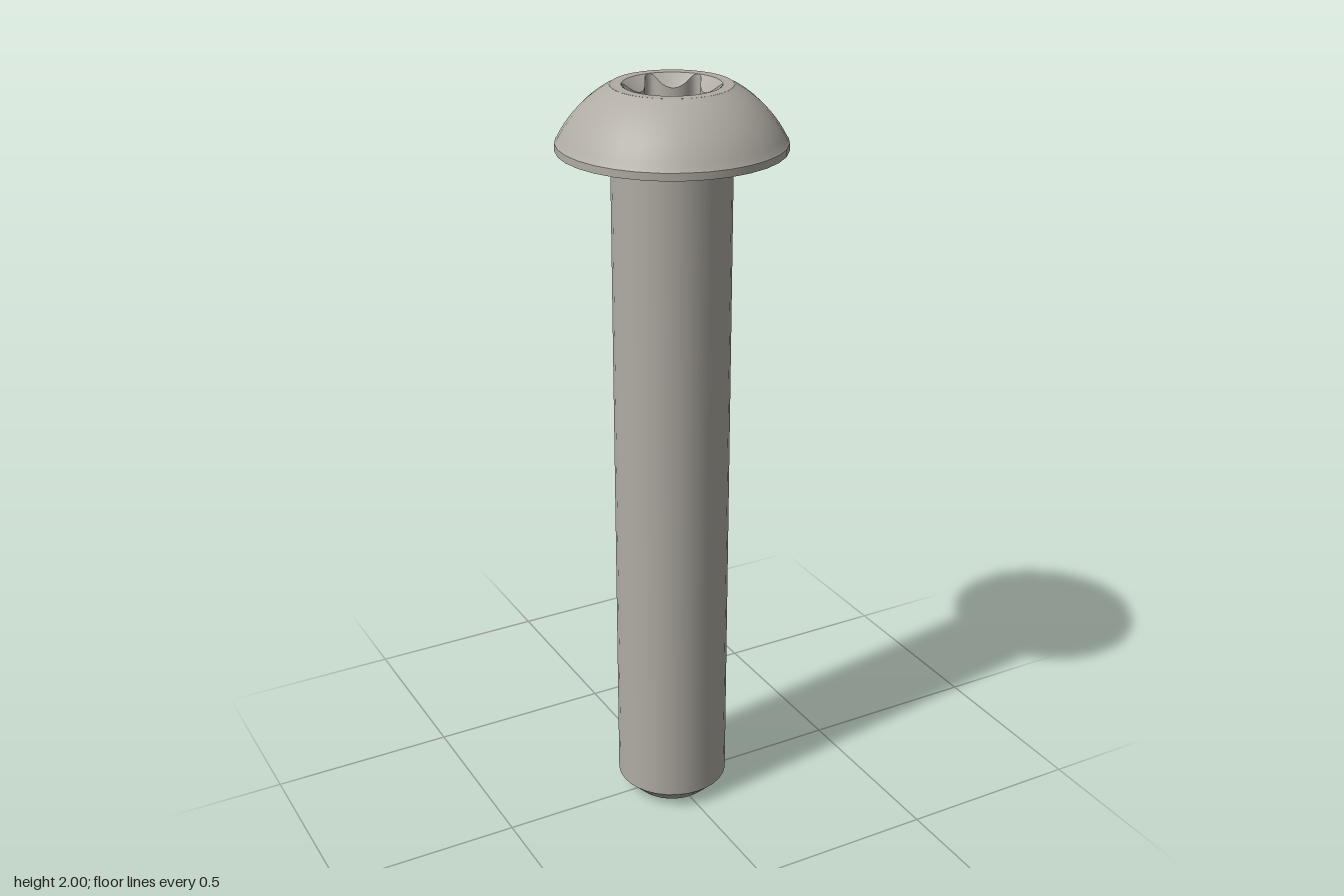
import * as THREE from 'three';

const SEGMENTS = 32;
const steel = new THREE.MeshStandardMaterial({ color: 0xb0aca4 });
steel.name = 'steel grey';

function addMesh(group, name, geometry) {
  const mesh = new THREE.Mesh(geometry, steel);
  mesh.name = name;
  group.add(mesh);
}

// Each turned section is its own surface, so edges between sections stay sharp
function turned(group, name, points) {
  const profile = points.map(([r, y]) => new THREE.Vector2(r, y));
  addMesh(group, name, new THREE.LatheGeometry(profile, SEGMENTS));
}

// Points on a circular arc, angles measured in the profile plane
function arc(cx, cy, radius, from, to, steps) {
  return Array.from({ length: steps + 1 }, (_, i) => {
    const a = from + (to - from) * i / steps;
    return [cx + radius * Math.cos(a), cy + radius * Math.sin(a)];
  });
}

// Six-lobed socket outline: small round tips tangent to wide inward bulges
const TIP_R = 0.016, TIP_C = 0.106, BULGE_R = 0.0648, BULGE_C = 0.1528;
const TANGENT = THREE.MathUtils.degToRad(7.75);
function starRadius(angle) {
  const sector = Math.PI / 3;
  const a = Math.abs(angle - Math.round(angle / sector) * sector);
  if (a < TANGENT) {
    return TIP_C * Math.cos(a) + Math.sqrt(TIP_R ** 2 - (TIP_C * Math.sin(a)) ** 2);
  }
  const b = sector / 2 - a;
  return BULGE_C * Math.cos(b) - Math.sqrt(BULGE_R ** 2 - (BULGE_C * Math.sin(b)) ** 2);
}

// Surface between closed rings; each ring maps an angle to [radius, height]
function loft(rings) {
  const n = 144, positions = [], index = [];
  rings.forEach((ring) => {
    for (let i = 0; i < n; i++) {
      const a = i / n * Math.PI * 2;
      const [r, y] = ring(a);
      positions.push(r * Math.sin(a), y, r * Math.cos(a));
    }
  });
  for (let j = 0; j < rings.length - 1; j++) {
    for (let i = 0; i < n; i++) {
      const k = (i + 1) % n;
      const a = j * n + i, b = j * n + k, c = b + n, d = a + n;
      index.push(a, b, d, c, d, b);
    }
  }
  const geometry = new THREE.BufferGeometry();
  geometry.setAttribute('position', new THREE.Float32BufferAttribute(positions, 3));
  geometry.setIndex(index);
  geometry.computeVertexNormals();
  return geometry;
}

export function createModel() {
  const screw = new THREE.Group();
  screw.name = 'screw';

  // Shank with a chamfered tip
  const shank = new THREE.Group();
  shank.name = 'shank';
  turned(shank, 'tipFace', [[0, 0], [0.105, 0]]);
  turned(shank, 'tipChamfer', [[0.105, 0], [0.151, 0.046]]);
  turned(shank, 'shaft', [[0.151, 0.046], [0.151, 1.828]]);
  turned(shank, 'neckFillet', arc(0.166, 1.828, 0.015, Math.PI, Math.PI / 2, 4));

  // Domed head
  const head = new THREE.Group();
  head.name = 'head';
  turned(head, 'underside', [[0.166, 1.843], [0.286, 1.843]]);
  turned(head, 'rim', [[0.286, 1.843], [0.286, 1.862]]);
  const domeY = 1.7205, domeR = 0.3175;
  turned(head, 'dome', [
    [0.286, 1.862],
    ...arc(0, domeY, domeR, Math.asin((1.865 - domeY) / domeR), Math.asin((2 - domeY) / domeR), 10),
  ]);
  turned(head, 'topRing', [[0.15, 2], [0.1225, 2]]);

  // Socket: countersink, lobed walls and a shallow conical floor
  const socket = new THREE.Group();
  socket.name = 'socket';
  const lip = (a) => [starRadius(a), 2 - (0.1225 - starRadius(a)) * 0.9];
  const floorEdge = (a) => [starRadius(a), 1.87 + starRadius(a) * 0.25];
  addMesh(socket, 'countersink', loft([() => [0.1225, 2], lip]));
  addMesh(socket, 'socketWalls', loft([lip, floorEdge]));
  addMesh(socket, 'socketFloor', loft([floorEdge, () => [0.0005, 1.87]]));
  head.add(socket);

  screw.add(shank, head);
  return screw;
}
